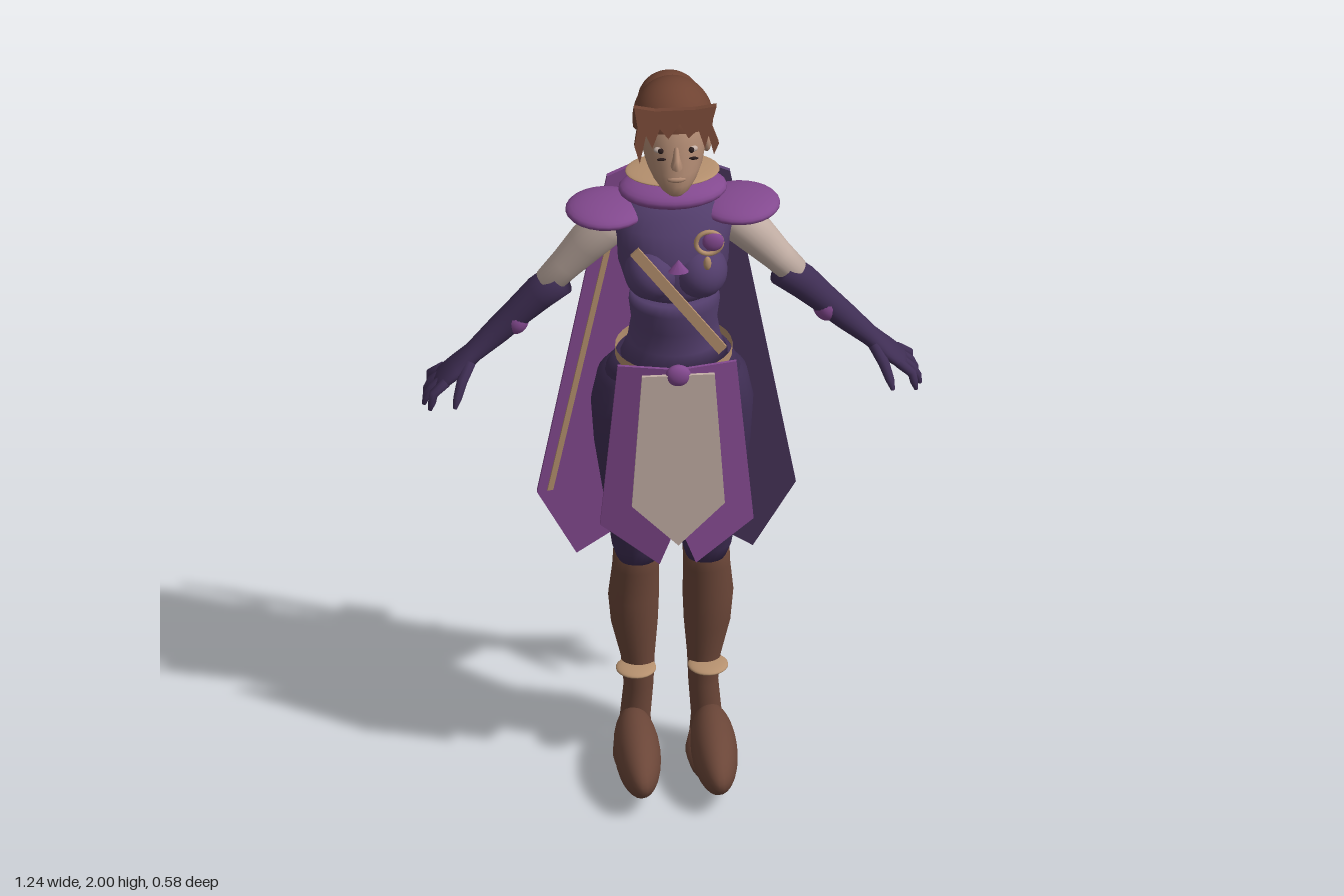
import * as THREE from 'three';

const mat = (name, color) => Object.assign(
  new THREE.MeshStandardMaterial({ color, side: THREE.DoubleSide }), { name });
const M = {
  skin: mat('skin', 0xb38c74), hair: mat('hair', 0x6f4332), leather: mat('boot leather', 0x6b4638),
  cream: mat('cream cloth', 0xc4b0a6), gold: mat('dull gold', 0xb5906e), bright: mat('bright purple', 0x83498f),
  cape: mat('dark cape', 0x594170), bodice: mat('bodice purple', 0x523d6b), dark: mat('dark legging', 0x3f2e54),
  eye: mat('pupil', 0x2a1c1c),
};

export function createModel() {
  const root = new THREE.Group();
  const add = (name, geo, m) => {
    const mesh = new THREE.Mesh(geo, m);
    mesh.name = name;
    root.add(mesh);
    return mesh;
  };
  // Ellipsoid at a point
  const ball = (name, m, [x, y, z], [rx, ry, rz], seg = 24) => {
    const mesh = add(name, new THREE.SphereGeometry(1, seg, Math.ceil(seg * 0.6)), m);
    mesh.position.set(x, y, z);
    mesh.scale.set(rx, ry, rz);
    return mesh;
  };
  // Closed skin over rings [x, y, z, r, rz]; rings follow the path unless flat
  const loft = (name, m, rings, flat = false, seg = 24) => {
    const P = rings.map(r => new THREE.Vector3(r[0], r[1], r[2]));
    const Z = new THREE.Vector3(0, 0, 1), pos = [], idx = [], last = rings.length - 1;
    rings.forEach((r, i) => {
      const t = new THREE.Vector3(0, 1, 0);
      if (!flat) t.subVectors(P[Math.min(i + 1, last)], P[Math.max(i - 1, 0)]).normalize();
      const a = t.clone().cross(Z).normalize(), b = a.clone().cross(t);
      for (let j = 0; j < seg; j++) {
        const q = j / seg * Math.PI * 2;
        const v = P[i].clone().addScaledVector(a, r[3] * Math.cos(q)).addScaledVector(b, (r[4] ?? r[3]) * Math.sin(q));
        pos.push(v.x, v.y, v.z);
        const k = (j + 1) % seg, o = i * seg;
        if (i < last) idx.push(o + j, o + seg + j, o + k, o + k, o + seg + j, o + seg + k);
      }
    });
    const c0 = pos.length / 3, c1 = c0 + 1;
    pos.push(...P[0].toArray(), ...P[last].toArray());
    for (let j = 0; j < seg; j++) {
      const k = (j + 1) % seg;
      idx.push(c0, j, k, c1, last * seg + k, last * seg + j);
    }
    const g = new THREE.BufferGeometry();
    g.setAttribute('position', new THREE.Float32BufferAttribute(pos, 3));
    g.setIndex(idx);
    g.computeVertexNormals();
    return add(name, g, m);
  };
  // Thin plate cut from an x,y outline and laid on the slope z = f(x, y)
  const plate = (name, m, pts, f, depth = 0.008) => {
    const g = new THREE.ExtrudeGeometry(new THREE.Shape(pts.map(p => new THREE.Vector2(...p))),
      { depth, bevelEnabled: false });
    const p = g.attributes.position;
    for (let i = 0; i < p.count; i++) p.setZ(i, p.getZ(i) - depth / 2 + f(p.getX(i), p.getY(i)));
    g.computeVertexNormals();
    return add(name, g, m);
  };

  // Head and face
  loft('head', M.skin, [[0, 1.733, 0.105, 0.022, 0.025], [0, 1.745, 0.098, 0.036, 0.042], [0, 1.77, 0.08, 0.055, 0.067],
    [0, 1.8, 0.06, 0.07, 0.085], [0, 1.84, 0.043, 0.08, 0.093], [0, 1.88, 0.033, 0.086, 0.097],
    [0, 1.93, 0.028, 0.08, 0.085], [0, 1.97, 0.025, 0.05, 0.05]], true);
  loft('nose', M.skin, [[0, 1.822, 0.135, 0.013, 0.02], [0, 1.832, 0.143, 0.015, 0.028],
    [0, 1.85, 0.134, 0.009, 0.02], [0, 1.878, 0.123, 0.006, 0.008]], true, 10);
  ball('lips', M.skin, [0, 1.79, 0.137], [0.025, 0.01, 0.012], 12);
  loft('neck', M.skin, [[0, 1.62, 0.0, 0.06], [0, 1.7, 0.01, 0.047], [0, 1.82, 0.025, 0.052]]);
  for (const s of [-1, 1]) {
    ball('eye', M.cream, [s * 0.038, 1.864, 0.116], [0.017, 0.009, 0.01], 12);
    ball('pupil', M.eye, [s * 0.038, 1.866, 0.126], [0.007, 0.008, 0.006], 10);
    ball('lash', M.eye, [s * 0.04, 1.872, 0.173], [0.012, 0.004, 0.004], 8);
    ball('ear', M.skin, [s * 0.083, 1.835, 0.035], [0.012, 0.032, 0.02], 12);
  }

  // Hair cap, bun and jagged fringe
  const cap = add('hairCap', new THREE.SphereGeometry(1, 28, 16, 0, Math.PI * 2, 0, Math.PI * 0.56), M.hair);
  cap.position.set(0, 1.895, 0.02);
  cap.scale.set(0.1, 0.105, 0.105);
  cap.rotation.x = -0.35;
  ball('hairBun', M.hair, [0, 1.875, -0.093], [0.078, 0.074, 0.072]);
  plate('fringe', M.hair, [[-0.102, 1.982], [-0.05, 1.972], [0.05, 1.972], [0.102, 1.978], [0.088, 1.935], [0.105, 1.89],
    [0.092, 1.865], [0.08, 1.91], [0.07, 1.88], [0.055, 1.925], [0.03, 1.905], [0.01, 1.94], [-0.02, 1.905],
    [-0.04, 1.93], [-0.06, 1.885], [-0.075, 1.915], [-0.092, 1.85], [-0.104, 1.89], [-0.095, 1.935]],
  (x, y) => 0.098 + (1.98 - y) * 0.38, 0.014);

  // Collar and shoulder pads
  ball('neckRing', M.gold, [0, 1.735, 0.01], [0.117, 0.009, 0.077], 32);
  ball('collar', M.bright, [0, 1.69, 0.018], [0.135, 0.036, 0.09]);

  // Bodice, corset and belt
  loft('bodice', M.bodice, [[0, 1.425, 0.05, 0.105, 0.09], [0, 1.45, 0.047, 0.122, 0.105], [0, 1.5, 0.04, 0.137, 0.118],
    [0, 1.56, 0.035, 0.14, 0.12], [0, 1.61, 0.025, 0.15, 0.1], [0, 1.645, 0.018, 0.13, 0.08],
    [0, 1.67, 0.015, 0.08, 0.06]], true, 32);
  loft('corset', M.bodice, [[0, 1.23, 0.06, 0.135, 0.105], [0, 1.28, 0.06, 0.115, 0.098], [0, 1.34, 0.063, 0.106, 0.096],
    [0, 1.4, 0.07, 0.113, 0.103], [0, 1.425, 0.065, 0.108, 0.095]], true, 32);
  const belt = add('belt', new THREE.CylinderGeometry(1, 1, 0.025, 32, 1, true), M.gold);
  belt.position.set(0, 1.237, 0.05);
  belt.scale.set(0.145, 1, 0.118);
  belt.rotation.x = 0.06;
  loft('hips', M.dark, [[0, 1.0, 0.0, 0.1, 0.07], [0, 1.06, 0.0, 0.165, 0.1], [0, 1.12, 0.008, 0.18, 0.112],
    [0, 1.18, 0.022, 0.162, 0.115], [0, 1.235, 0.045, 0.138, 0.106]], true, 32);

  // Everything that comes in pairs
  for (const s of [-1, 1]) {
    ball('bust', M.bodice, [s * 0.06, 1.505, 0.115], [0.068, 0.068, 0.074]);
    ball('shoulderPad', M.bright, [s * 0.165, 1.635, 0.02], [0.101, 0.028, 0.093]);

    // Arm
    loft('sleeve', M.cream, [[s * 0.125, 1.605, 0, 0.04], [s * 0.16, 1.575, -0.005, 0.056], [s * 0.21, 1.515, -0.015, 0.05],
      [s * 0.26, 1.45, -0.025, 0.041], [s * 0.305, 1.395, -0.03, 0.036]]);
    loft('glove', M.dark, [[s * 0.275, 1.405, -0.028, 0.044], [s * 0.325, 1.362, -0.033, 0.043], [s * 0.375, 1.31, -0.035, 0.037],
      [s * 0.43, 1.255, -0.032, 0.033], [s * 0.49, 1.2, -0.025, 0.025, 0.028], [s * 0.53, 1.165, -0.02, 0.022, 0.045],
      [s * 0.565, 1.135, -0.02, 0.018, 0.047], [s * 0.58, 1.12, -0.02, 0.01, 0.04]]);
    ball('elbowPad', M.bright, [s * 0.386, 1.29, -0.038], [0.036, 0.044, 0.042]);
    for (let i = 0; i < 4; i++) {
      const z = 0.015 - i * 0.024, d = 0.012 * Math.abs(i - 1.3), fan = (i - 1.5) * -0.012;
      loft('finger', M.dark, [[s * 0.56, 1.14, z, 0.013], [s * 0.592, 1.115, z + fan * 0.6, 0.012],
        [s * (0.612 - d), 1.088 + d * 0.4, z + fan, 0.01], [s * (0.617 - d), 1.066 + d * 0.4, z + fan, 0.005]], false, 10);
    }
    loft('thumb', M.dark, [[s * 0.5, 1.185, 0, 0.015], [s * 0.522, 1.15, 0.03, 0.014],
      [s * 0.535, 1.115, 0.052, 0.011], [s * 0.542, 1.09, 0.06, 0.005]], false, 10);

    // Leg, boot and anklet
    loft('legging', M.dark, [[s * 0.085, 0.585, -0.015, 0.05, 0.045], [s * 0.086, 0.63, -0.005, 0.062, 0.056],
      [s * 0.09, 0.72, 0.005, 0.07, 0.063], [s * 0.095, 0.82, 0.01, 0.08, 0.074], [s * 0.1, 0.95, 0.01, 0.094, 0.098],
      [s * 0.102, 1.06, 0.003, 0.099, 0.114], [s * 0.1, 1.14, 0.005, 0.085, 0.105], [s * 0.095, 1.19, 0.01, 0.05, 0.07]], true);
    loft('boot', M.leather, [[s * 0.09, 0.03, -0.045, 0.045, 0.045], [s * 0.088, 0.1, -0.042, 0.038, 0.04],
      [s * 0.08, 0.2, -0.037, 0.037, 0.037], [s * 0.082, 0.28, -0.039, 0.042, 0.044], [s * 0.09, 0.38, -0.042, 0.058, 0.059],
      [s * 0.092, 0.46, -0.042, 0.063, 0.063], [s * 0.088, 0.55, -0.032, 0.058, 0.054], [s * 0.085, 0.625, -0.02, 0.058, 0.05]], true);
    ball('bootToe', M.leather, [s * 0.095, 0.09, 0.112], [0.057, 0.074, 0.178], 28);
    loft('sole', M.leather, [[s * 0.09, 0, 0.02, 0.05, 0.105], [s * 0.09, 0.025, 0.02, 0.058, 0.112],
      [s * 0.09, 0.06, -0.01, 0.046, 0.075]], true);
    ball('anklet', M.gold, [s * 0.089, 0.265, -0.003], [0.05, 0.011, 0.05]);

    // Split cape and tabard halves
    plate('capePanel', s < 0 ? M.bright : M.cape, [[0.05, 1.675], [0.152, 1.645], [0.32, 0.68], [0.218, 0.46], [0.024, 0.56]]
      .map(([x, y]) => [s * x, y]), (x, y) => -0.358 + 0.3 * Math.abs(x) + 0.12 * y, 0.012);
    plate('tabardSide', M.bright, [[0, 1.26], [0.147, 1.26], [0.19, 0.79], [0.045, 0.685], [0.018, 0.76]]
      .map(([x, y]) => [s * x, y]), x => 0.185 - 0.2 * Math.abs(x));
  }

  // Cape trim and back clasp
  plate('capeTrim', M.gold, [[-0.105, 1.61], [-0.12, 1.61], [-0.295, 0.685], [-0.28, 0.685]],
    (x, y) => -0.346 + 0.3 * Math.abs(x) + 0.12 * y);
  plate('capeClasp', M.gold, [[0, 1.055], [0.062, 0.98], [0, 0.905], [-0.062, 0.98]], x => -0.288 + Math.abs(x) * 0.1);

  // Tabard centre with its gem
  plate('tabardCentre', M.cream, [[-0.09, 1.25], [0.09, 1.25], [0.115, 0.87], [0, 0.75], [-0.115, 0.87]], () => 0.195);
  ball('tabardGem', M.bright, [0, 1.245, 0.19], [0.032, 0.03, 0.018], 16);

  // Sash, brooch and pendant
  plate('sash', M.gold, [[-0.118, 1.605], [-0.098, 1.625], [0.12, 1.325], [0.1, 1.305]], () => 0.19);
  const ring = add('broochRing', new THREE.TorusGeometry(0.032, 0.006, 8, 24), M.gold);
  ring.position.set(0.076, 1.635, 0.195);
  ball('broochGem', M.bright, [0.086, 1.64, 0.197], [0.027, 0.027, 0.013], 16);
  ball('broochDrop', M.gold, [0.072, 1.575, 0.195], [0.01, 0.02, 0.008], 10);
  const drop = add('pendant', new THREE.ConeGeometry(0.026, 0.035, 10), M.bright);
  drop.position.set(0, 1.575, 0.2);
  drop.scale.z = 0.6;

  return root;
}
